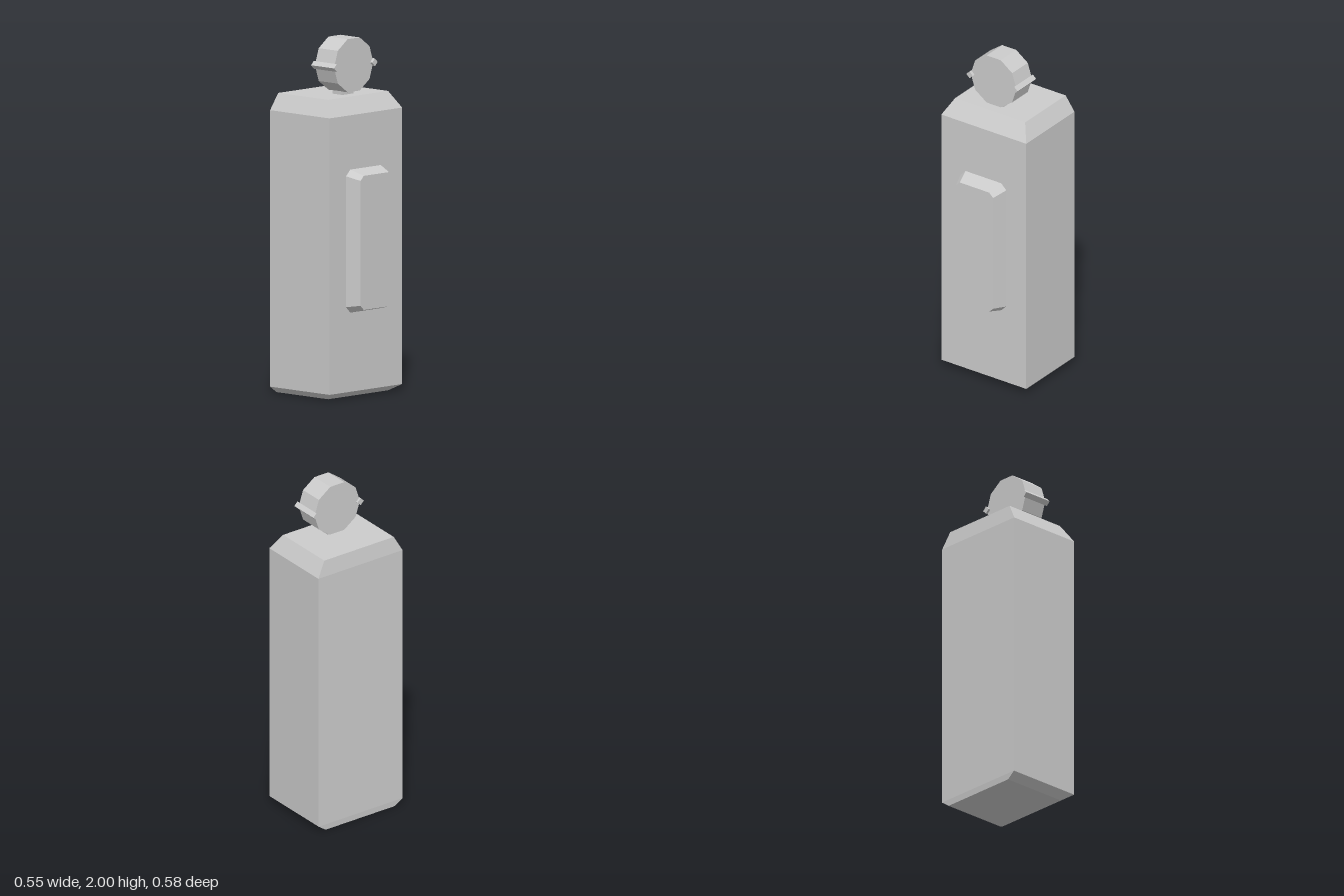
import * as THREE from 'three';

// Closed solid through rings of points, each counter-clockwise about the loft direction
function loft(rings) {
  const pos = [];
  const tri = (...pts) => pts.forEach((p) => pos.push(...p));
  const n = rings[0].length;
  for (let r = 0; r < rings.length - 1; r++) {
    const a = rings[r], b = rings[r + 1];
    for (let i = 0; i < n; i++) {
      const j = (i + 1) % n;
      tri(a[i], a[j], b[j]);
      tri(a[i], b[j], b[i]);
    }
  }
  const first = rings[0], last = rings[rings.length - 1];
  for (let i = 1; i < n - 1; i++) {
    tri(first[0], first[i + 1], first[i]);
    tri(last[0], last[i], last[i + 1]);
  }
  const geo = new THREE.BufferGeometry();
  geo.setAttribute('position', new THREE.Float32BufferAttribute(pos, 3));
  geo.computeVertexNormals();
  return geo;
}

// Horizontal rectangle at height y
const rect = (y, x0, x1, d) => [[x0, y, d], [x1, y, d], [x1, y, -d], [x0, y, -d]];

// Rectangle with cut corners, facing +x
const octagon = (x, y0, y1, z0, z1, c) => [
  [x, y0 + c, z1], [x, y0, z1 - c], [x, y0, z0 + c], [x, y0 + c, z0],
  [x, y1 - c, z0], [x, y1, z0 + c], [x, y1, z1 - c], [x, y1 - c, z1],
];

// Prism lying along x, with a corner pointing to +z
const prismX = (radius, length, sides) =>
  new THREE.CylinderGeometry(radius, radius, length, sides).rotateZ(Math.PI / 2);

export function createModel() {
  const group = new THREE.Group();
  const grey = new THREE.MeshStandardMaterial({ color: 0xcccccc });
  grey.name = 'light grey';
  grey.flatShading = true;

  const add = (name, geo, x = 0, y = 0, z = 0) => {
    const mesh = new THREE.Mesh(geo, grey);
    mesh.name = name;
    mesh.position.set(x, y, z);
    group.add(mesh);
  };

  // Tall cabinet with bevelled foot and shoulders
  add('cabinet', loft([
    rect(0, -0.27, 0.128, 0.24),
    rect(0.036, -0.273, 0.188, 0.291),
    rect(1.59, -0.271, 0.188, 0.291),
    rect(1.683, -0.258, 0.128, 0.24),
  ]));

  // Raised panel on the side
  add('sidePanel', loft([
    octagon(0.18, 0.481, 1.285, -0.154, 0.159, 0.034),
    octagon(0.188, 0.481, 1.285, -0.154, 0.159, 0.034),
    octagon(0.272, 0.502, 1.256, -0.124, 0.13, 0.026),
  ]));

  // Round head on a short neck
  add('neck', new THREE.BoxGeometry(0.075, 0.06, 0.09), 0.018, 1.69, 0.005);
  add('head', prismX(0.157, 0.148, 10), 0.02, 1.851, 0);

  // Diamond bars across the front and back of the head
  for (const s of [1, -1]) {
    add(s > 0 ? 'frontBar' : 'backBar', prismX(0.022, 0.178, 4), 0.022, 1.851, s * 0.153);
  }
  return group;
}
